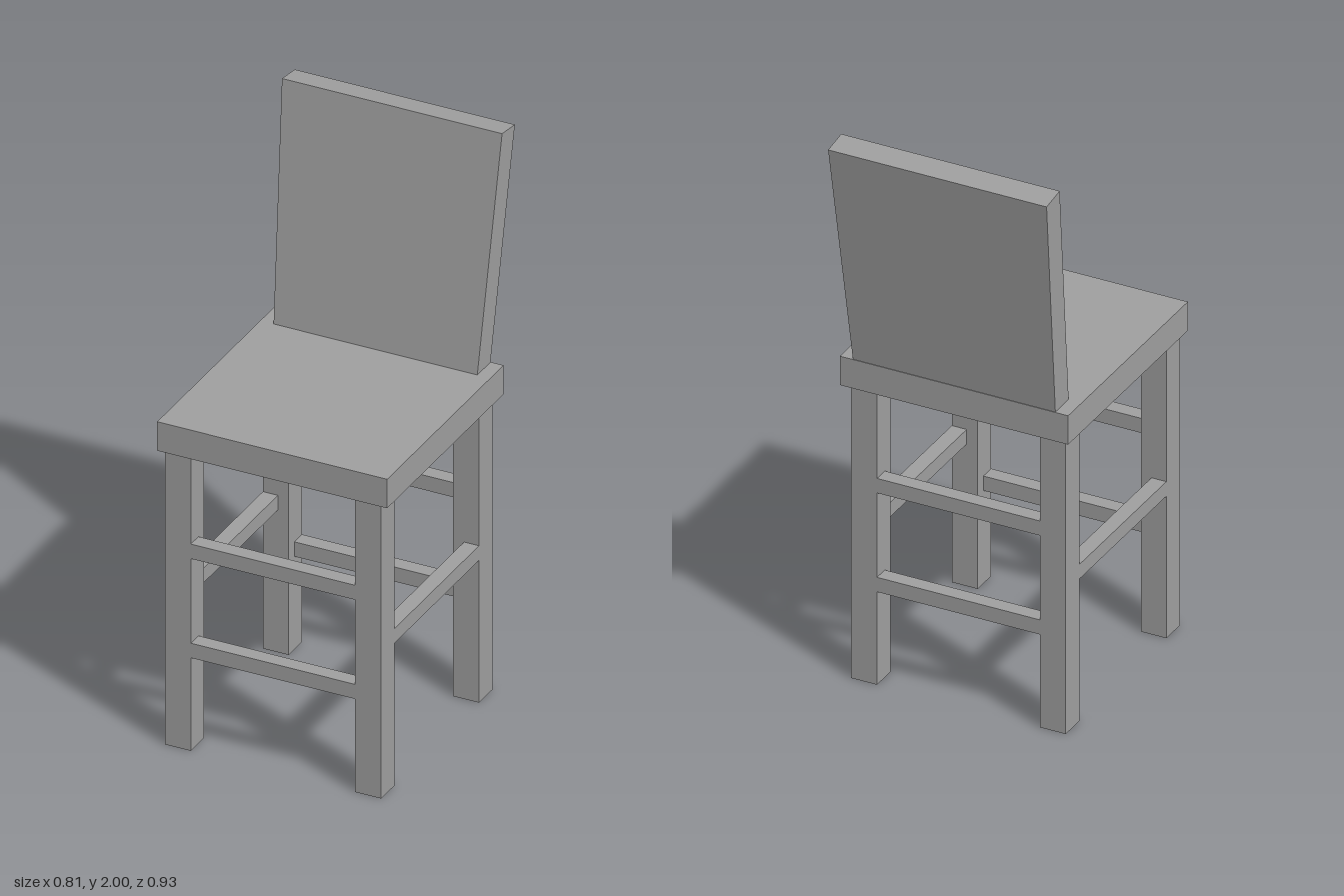
import * as THREE from 'three';

export function createModel() {
  const model = new THREE.Group();
  model.name = 'chair';
  const grey = new THREE.MeshStandardMaterial({ color: 0xa0a0a0 });
  grey.name = 'grey';

  // Box given by its minimum and maximum corners
  function box(name, [x0, y0, z0], [x1, y1, z1]) {
    const mesh = new THREE.Mesh(new THREE.BoxGeometry(x1 - x0, y1 - y0, z1 - z0), grey);
    mesh.position.set((x0 + x1) / 2, (y0 + y1) / 2, (z0 + z1) / 2);
    mesh.name = name;
    model.add(mesh);
  }

  const seatBottom = 1.07, seatTop = 1.175;
  box('seat', [-0.407, seatBottom, -0.351], [0.406, seatTop, 0.463]);

  // Legs: [min, max] spans across and along the seat
  const right = [-0.387, -0.296], left = [0.285, 0.377];
  const front = [0.355, 0.447], back = [-0.329, -0.237];
  for (const [side, x] of [['Right', right], ['Left', left]]) {
    for (const [end, z] of [['front', front], ['back', back]]) {
      box(`${end}${side}Leg`, [x[0], 0, z[0]], [x[1], seatBottom, z[1]]);
    }
  }

  // Rungs, flush with the outer faces of the legs
  const t = 0.053;
  for (const [level, y] of [['Lower', 0.338], ['Upper', 0.698]]) {
    box(`front${level}Rung`, [right[1], y, front[1] - t], [left[0], y + t, front[1]]);
    box(`back${level}Rung`, [right[1], y, back[0]], [left[0], y + t, back[0] + t]);
  }
  box('rightSideRung', [right[0], 0.517, back[1]], [right[0] + t, 0.57, front[0]]);
  box('leftSideRung', [left[1] - t, 0.517, back[1]], [left[1], 0.57, front[0]]);

  // Backrest: slab widening upward, leaning back
  const lean = THREE.MathUtils.degToRad(8), thickness = 0.09;
  const height = (2 - seatTop) / Math.cos(lean);
  const outline = new THREE.Shape([
    new THREE.Vector2(-0.36, 0), new THREE.Vector2(0.36, 0),
    new THREE.Vector2(0.389, height), new THREE.Vector2(-0.389, height),
  ]);
  const slab = new THREE.ExtrudeGeometry(outline, { depth: thickness, bevelEnabled: false });
  slab.translate(0, 0, -thickness);
  const backrest = new THREE.Mesh(slab, grey);
  backrest.name = 'backrest';
  backrest.position.set(0, seatTop, -0.258);
  backrest.rotation.x = -lean;
  model.add(backrest);

  return model;
}
